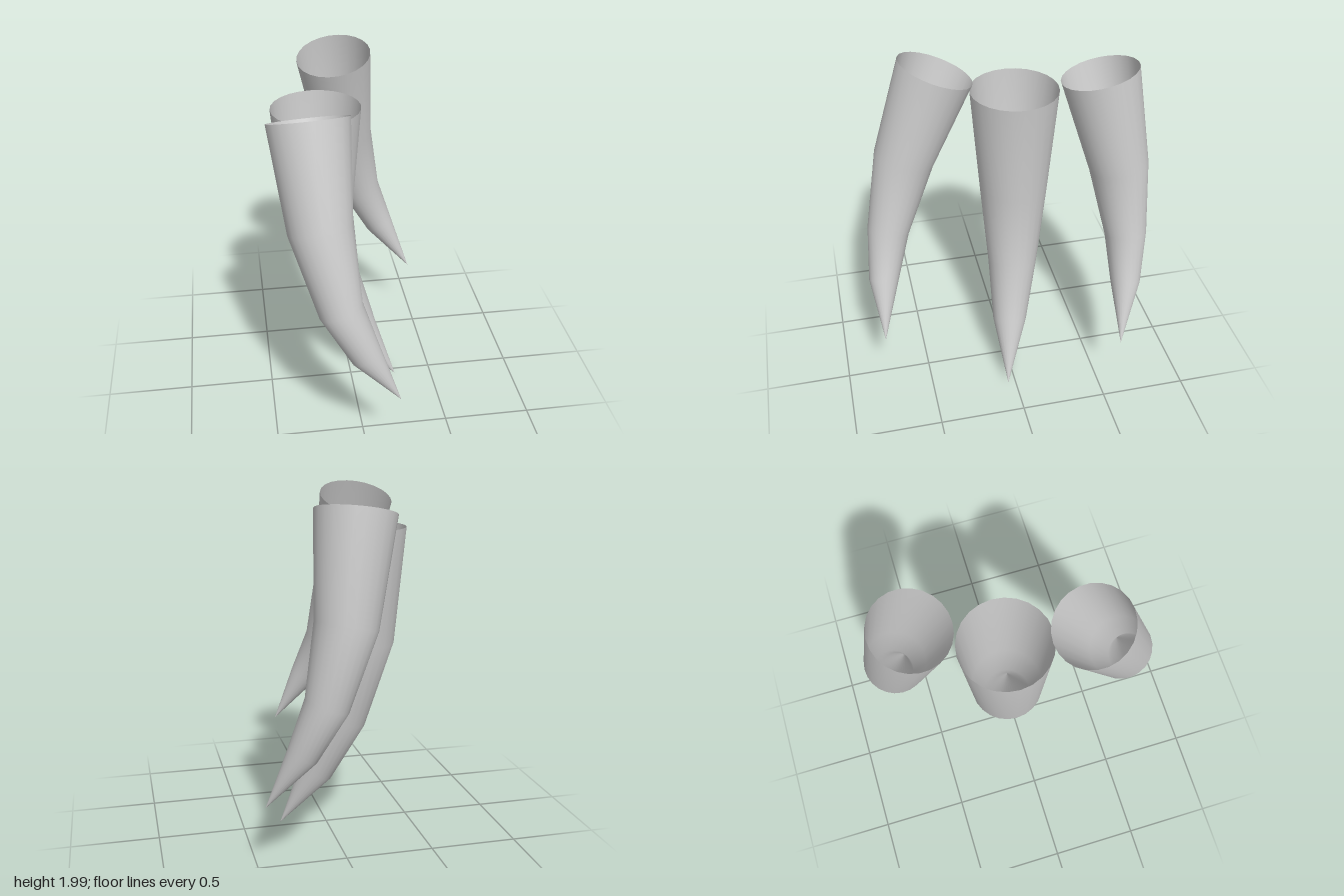
import * as THREE from 'three';

const SIDES = 24;
const material = new THREE.MeshStandardMaterial({ color: 0xcccccc, side: THREE.DoubleSide });

// Each claw: sections [x, y, z, radius] from the open root down to the tip
const claws = {
  frontClaw: [
    [-0.26, 1.92, 0.328, 0.215], [-0.232, 1.41, 0.535, 0.17], [-0.145, 0.99, 0.665, 0.12],
    [-0.02, 0.73, 0.725, 0.086], [0.17, 0.43, 0.76, 0],
  ],
  middleClaw: [
    [-0.18, 1.8, -0.09, 0.248], [-0.175, 1.16, -0.085, 0.196], [-0.078, 0.69, -0.058, 0.144],
    [0.065, 0.35, -0.01, 0.1], [0.275, 0.01, 0.045, 0],
  ],
  backClaw: [
    [-0.028, 1.927, -0.522, 0.215], [0.05, 1.37, -0.642, 0.167], [0.158, 0.97, -0.677, 0.12],
    [0.28, 0.71, -0.655, 0.086], [0.47, 0.4, -0.59, 0],
  ],
};

// Skin round sections set square to the bend of the centre line
function clawGeometry(sections) {
  const centres = sections.map(([x, y, z]) => new THREE.Vector3(x, y, z));
  const last = sections.length - 1;
  const direction = (k) => centres[k + 1].clone().sub(centres[k]).normalize();
  const positions = [], indices = [];

  sections.forEach(([, , , radius], k) => {
    const t = direction(Math.min(k, last - 1));
    if (k > 0 && k < last) t.add(direction(k - 1)).normalize();
    const u = new THREE.Vector3(1, 0, 0).addScaledVector(t, -t.x).normalize();
    const v = t.clone().cross(u);
    for (let i = 0; i < SIDES; i++) {
      const angle = (i / SIDES) * Math.PI * 2;
      const p = centres[k].clone()
        .addScaledVector(u, radius * Math.cos(angle))
        .addScaledVector(v, radius * Math.sin(angle));
      positions.push(p.x, p.y, p.z);
    }
  });

  for (let k = 0; k < last; k++) {
    for (let i = 0; i < SIDES; i++) {
      const a = k * SIDES + i, b = k * SIDES + (i + 1) % SIDES;
      indices.push(a, b, a + SIDES);
      if (k < last - 1) indices.push(b, b + SIDES, a + SIDES);
    }
  }

  const geometry = new THREE.BufferGeometry();
  geometry.setAttribute('position', new THREE.Float32BufferAttribute(positions, 3));
  geometry.setIndex(indices);
  geometry.computeVertexNormals();
  return geometry;
}

export function createModel() {
  const group = new THREE.Group();
  group.name = 'claws';
  for (const [name, sections] of Object.entries(claws)) {
    const mesh = new THREE.Mesh(clawGeometry(sections), material);
    mesh.name = name;
    group.add(mesh);
  }
  return group;
}
